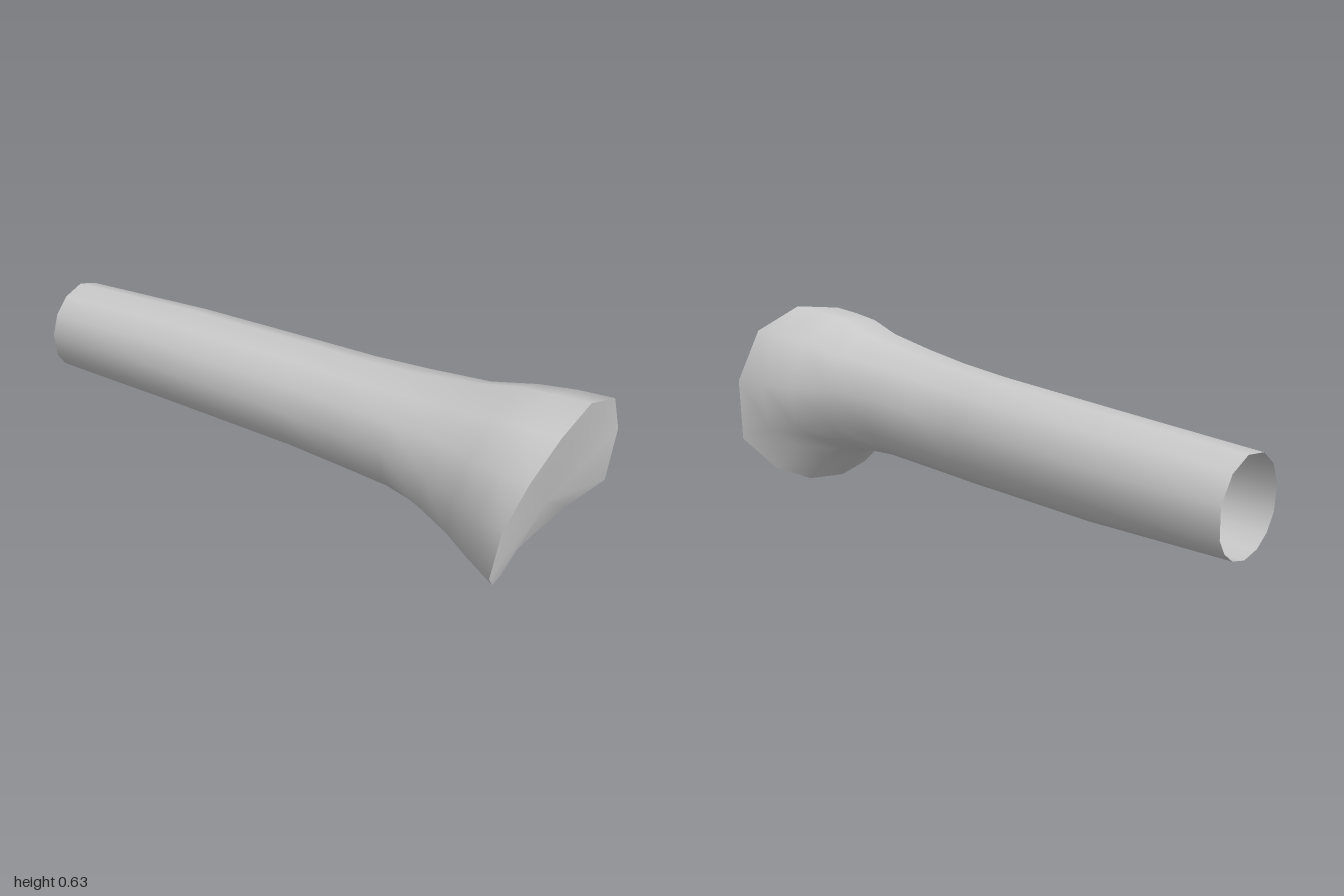
import * as THREE from 'three';

// Rim of the flared end: x, y, z, then how far each column has flared at each FLARE step
const RIM = [
  [0.975, 0.63, -0.037, 0.37, 0.82, 0.94],
  [1.0, 0.563, -0.21, 0.2, 0.7, 0.92],
  [1.0, 0.395, -0.313, 0.07, 0.62, 0.9],
  [0.98, 0.18, -0.325, 0.04, 0.34, 0.58],
  [0.88, 0.073, -0.26, 0.04, 0.17, 0.42],
  [0.82, 0.015, -0.15, 0.05, 0.18, 0.47],
  [0.79, 0.002, -0.015, 0.06, 0.2, 0.52],
  [0.805, 0.017, 0.115, 0.08, 0.25, 0.56],
  [0.82, 0.07, 0.23, 0.18, 0.42, 0.7],
  [0.84, 0.168, 0.325, 0.28, 0.53, 0.79],
  [0.865, 0.353, 0.325, 0.28, 0.55, 0.81],
  [0.91, 0.5, 0.26, 0.3, 0.65, 0.86],
  [0.95, 0.6, 0.142, 0.34, 0.76, 0.91],
];
const FLARE = [0.35, 0.6, 0.8];

// Shaft sections: x, top y, bottom y, back z, front z
const SHAFT = [
  [-1, 0.49, 0.17, -0.285, 0.035],
  [-0.5, 0.513, 0.163, -0.288, 0.065],
  [0, 0.53, 0.167, -0.265, 0.11],
  [0.2, 0.538, 0.17, -0.256, 0.143],
  [0.4, 0.555, 0.172, -0.25, 0.18],
];

// Point of a shaft section lying in the direction of a rim column
function shaftPoint([x, top, bottom, back, front], [, y, z]) {
  const a = Math.atan2(y - 0.3, z);
  return new THREE.Vector3(
    x,
    (top + bottom) / 2 + Math.sin(a) * (top - bottom) / 2,
    (back + front) / 2 + Math.cos(a) * 1.02 * (front - back) / 2
  );
}

function makeGeometry(points, index) {
  const geometry = new THREE.BufferGeometry().setFromPoints(points);
  geometry.setIndex(index);
  geometry.computeVertexNormals();
  return geometry;
}

export function createModel() {
  const group = new THREE.Group();
  const grey = new THREE.MeshStandardMaterial({ color: 0xcccccc, side: THREE.DoubleSide });
  grey.name = 'light grey';

  // Rings: straight shaft, flare, rim
  const n = RIM.length;
  const rimPoints = RIM.map(([x, y, z]) => new THREE.Vector3(x, y, z));
  const rings = SHAFT.map((s) => RIM.map((r) => shaftPoint(s, r)));
  const last = rings[rings.length - 1];
  FLARE.forEach((s, k) => {
    rings.push(RIM.map((r, i) => {
      const p = last[i].clone().lerp(rimPoints[i], r[3 + k]);
      p.x = THREE.MathUtils.lerp(last[i].x, r[0], s);
      return p;
    }));
  });
  rings.push(rimPoints);

  // Hollow shaft, open at the narrow end
  const index = [];
  for (let k = 0; k < rings.length - 1; k++) {
    for (let i = 0; i < n; i++) {
      const j = (i + 1) % n;
      const a = k * n + i, b = k * n + j, c = a + n, d = b + n;
      index.push(a, c, b, c, d, b);
    }
  }
  const shaft = new THREE.Mesh(makeGeometry(rings.flat(), index), grey);
  shaft.name = 'flaredShaft';

  // Slanted face closing the wide end
  const centre = rimPoints.reduce((sum, p) => sum.add(p), new THREE.Vector3()).divideScalar(n);
  const capIndex = [];
  for (let i = 0; i < n; i++) capIndex.push(n, (i + 1) % n, i);
  const cap = new THREE.Mesh(makeGeometry([...rimPoints, centre], capIndex), grey);
  cap.name = 'endFace';

  group.add(shaft, cap);
  return group;
}
